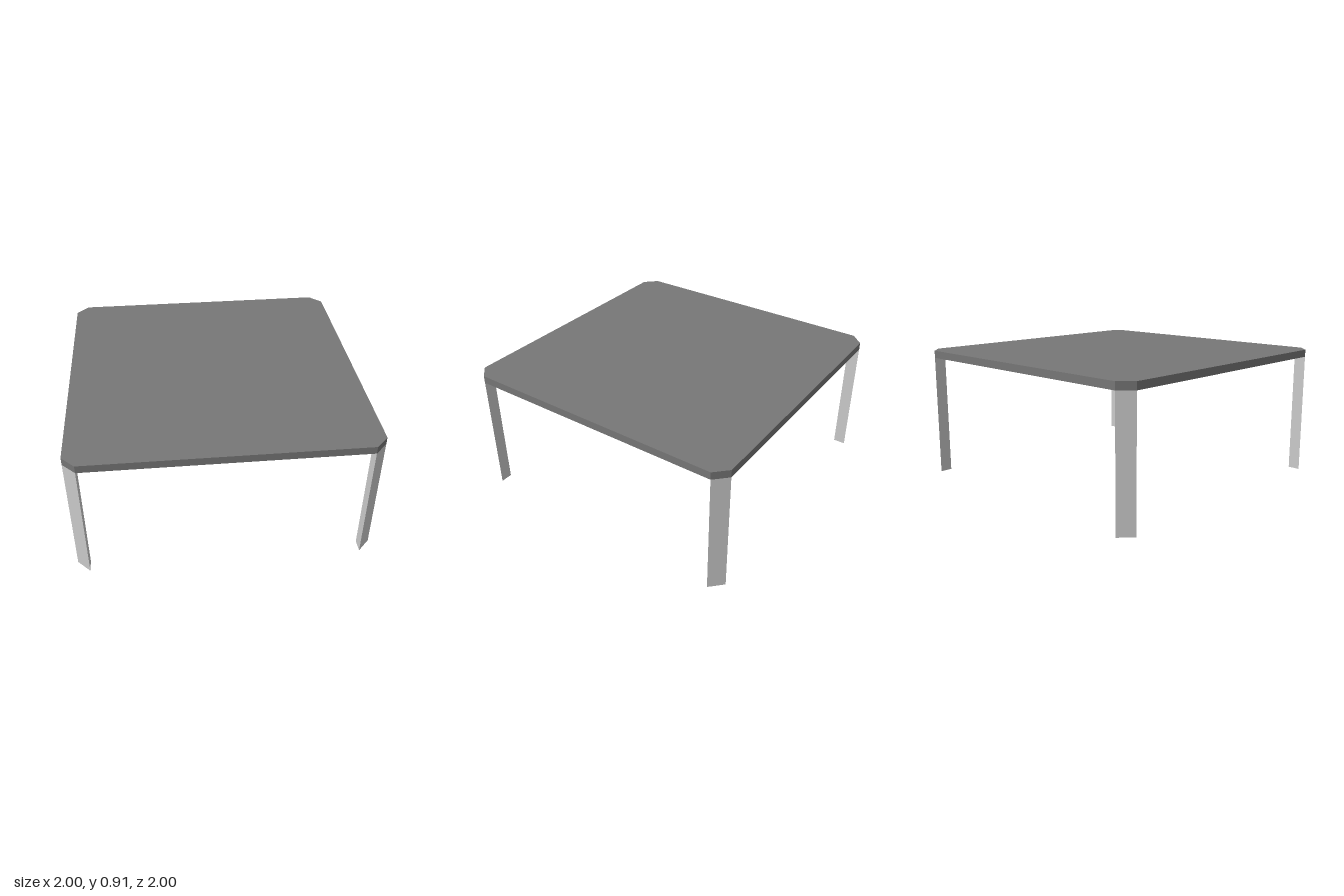
import * as THREE from 'three';

const H = 1;        // half width of the table
const C = 0.085;    // corner chamfer
const LEG = 0.862;  // leg height
const TOP = 0.914;  // overall height

// Extrude a plan outline [x, z] upward from y0 to y1
function prism(points, y0, y1) {
  const shape = new THREE.Shape(points.map(([x, z]) => new THREE.Vector2(x, -z)));
  const geo = new THREE.ExtrudeGeometry(shape, { depth: y1 - y0, bevelEnabled: false });
  return geo.rotateX(-Math.PI / 2).translate(0, y0, 0);
}

export function createModel() {
  const table = new THREE.Group();
  table.name = 'table';
  const topMaterial = new THREE.MeshStandardMaterial({ color: 0x777777 });
  const legMaterial = new THREE.MeshStandardMaterial({ color: 0xcccccc });

  // Square top with chamfered corners
  const K = H - C;
  const outline = [[K, H], [H, K], [H, -K], [K, -H], [-K, -H], [-H, -K], [-H, K], [-K, H]];
  const top = new THREE.Mesh(prism(outline, LEG, TOP), topMaterial);
  top.name = 'tabletop';
  table.add(top);

  // Triangular legs, the wide face flush with each chamfer
  const legGeometry = prism([[K, K], [K, H], [H, K]], 0, LEG);
  ['frontLeftLeg', 'backLeftLeg', 'backRightLeg', 'frontRightLeg'].forEach((name, i) => {
    const leg = new THREE.Mesh(legGeometry, legMaterial);
    leg.name = name;
    leg.rotation.y = i * Math.PI / 2;
    table.add(leg);
  });

  return table;
}
